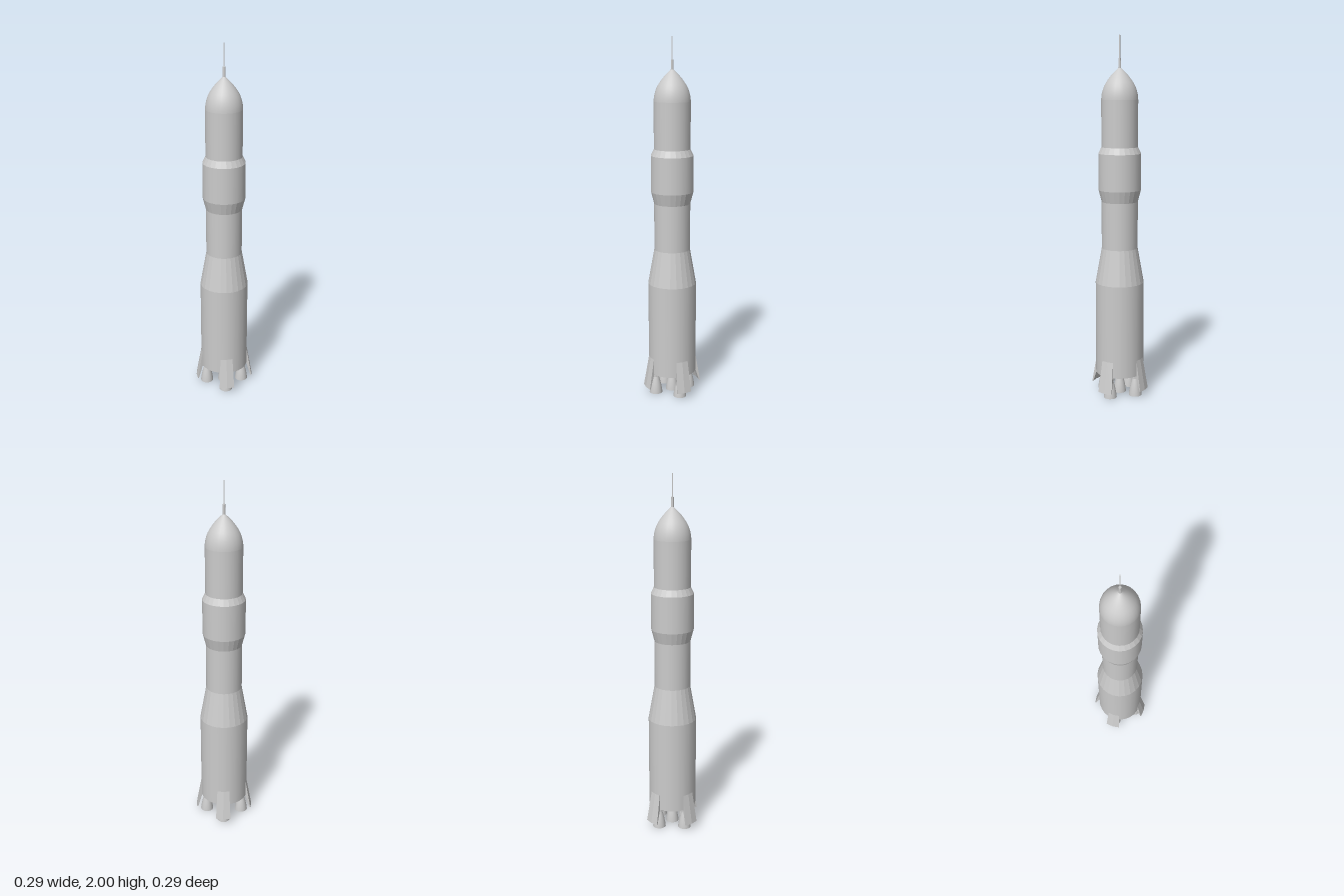
import * as THREE from 'three';

const SEGMENTS = 24;
const smooth = new THREE.MeshStandardMaterial({ color: 0xcccccc });
const flat = new THREE.MeshStandardMaterial({ color: 0xcccccc, flatShading: true });
const flatThin = new THREE.MeshStandardMaterial({ color: 0xcccccc, flatShading: true, side: THREE.DoubleSide });
const smoothThin = new THREE.MeshStandardMaterial({ color: 0xcccccc, side: THREE.DoubleSide });

const vectors = (points) => points.map(([r, y]) => new THREE.Vector2(r, y));

function turned(name, points, material, segments = SEGMENTS) {
  const mesh = new THREE.Mesh(new THREE.LatheGeometry(vectors(points), segments), material);
  mesh.name = name;
  return mesh;
}

// Engine: a short mount with an open bell below it
function createEngine() {
  const engine = new THREE.Group();
  engine.name = 'engine';
  engine.add(
    turned('engineMount', [[0, 0.1], [0.025, 0.1], [0.025, 0.13]], flat, 16),
    turned('engineBell', [[0.037, 0], [0.034, 0.025], [0.028, 0.055], [0.02, 0.085], [0.014, 0.105]], smoothThin, 16)
  );
  return engine;
}

// Fin: a curved wedge that flares outward below the hull, closed at both sides
function createFin() {
  const fin = new THREE.Group();
  fin.name = 'fin';
  const profile = [[0.133, 0.125], [0.16, 0.04], [0.166, 0.04], [0.135, 0.215], [0.133, 0.125]];
  const start = Math.PI / 6;
  const sweep = Math.PI / 6;
  const panel = new THREE.Mesh(new THREE.LatheGeometry(vectors(profile), 2, start, sweep), flatThin);
  panel.name = 'finPanel';
  fin.add(panel);
  const capGeometry = new THREE.ShapeGeometry(new THREE.Shape(vectors(profile.slice(0, 4))));
  for (const angle of [start, start + sweep]) {
    const cap = new THREE.Mesh(capGeometry, flatThin);
    cap.name = 'finSide';
    cap.rotation.y = angle - Math.PI / 2;
    fin.add(cap);
  }
  return fin;
}

export function createModel() {
  const rocket = new THREE.Group();
  rocket.name = 'rocket';

  // Hull sections, each with its own normals so the joints stay crisp
  const sections = [
    ['base', 0, 0.125, 0.135, 0.125, flat],
    ['firstStage', 0.135, 0.125, 0.135, 0.65, smooth],
    ['stageTaper', 0.135, 0.65, 0.1, 0.845, flat],
    ['secondStage', 0.1, 0.845, 0.1, 1.105, smooth],
    ['lowerCollar', 0.1, 1.105, 0.117, 1.17, flat],
    ['payloadBay', 0.117, 1.17, 0.117, 1.37, smooth],
    ['upperCollar', 0.117, 1.37, 0.1, 1.405, flat],
    ['capsule', 0.1, 1.405, 0.1, 1.66, smooth],
  ];
  for (const [name, r0, y0, r1, y1, material] of sections) {
    rocket.add(turned(name, [[r0, y0], [r1, y1]], material));
  }

  // Rounded nose
  const nose = new THREE.SplineCurve(vectors([
    [0.1, 1.66], [0.097, 1.69], [0.085, 1.73], [0.063, 1.767], [0.036, 1.8], [0.007, 1.828],
  ]));
  rocket.add(turned('nose', nose.getPoints(10).map((p) => [p.x, p.y]), smooth));

  // Stepped antenna
  rocket.add(turned('antennaBase', [[0.008, 1.822], [0.007, 1.88], [0, 1.88]], flat, 10));
  rocket.add(turned('antenna', [[0.003, 1.87], [0.003, 2], [0, 2]], flat, 8));

  // Centre engine, then four engines and four fins on the diagonals
  rocket.add(createEngine());
  for (let i = 0; i < 4; i++) {
    const angle = Math.PI / 4 + (i * Math.PI) / 2;
    const engine = createEngine();
    engine.position.set(0.103 * Math.sin(angle), 0, 0.103 * Math.cos(angle));
    const fin = createFin();
    fin.rotation.y = (i * Math.PI) / 2;
    rocket.add(engine, fin);
  }
  return rocket;
}
